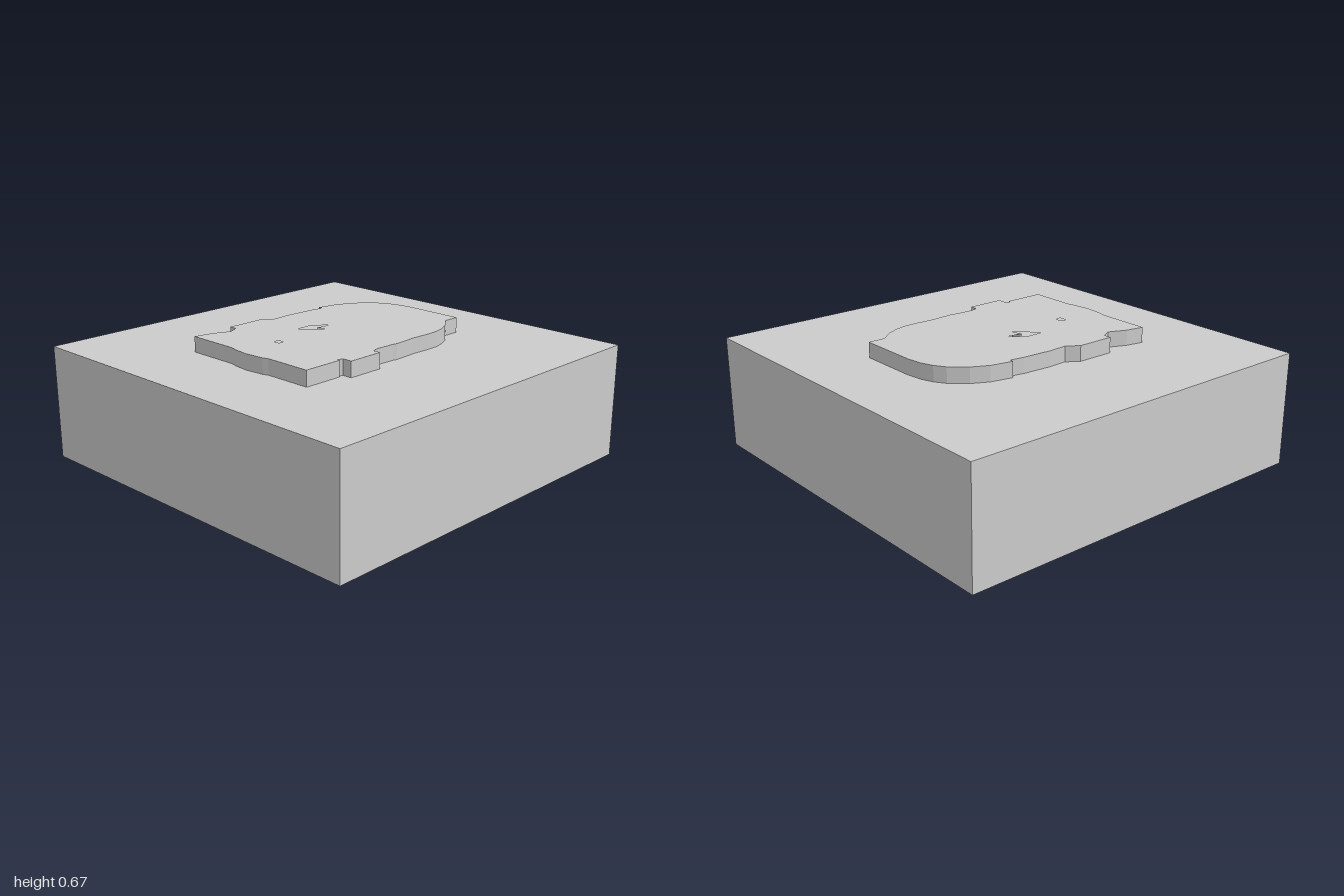
import * as THREE from 'three';

const BASE_HEIGHT = 0.59;
const RELIEF_HEIGHT = 0.08;

// Plan coordinates are [x, z]; z is flipped because the extrusion is laid flat.
const plan = (points) => points.map(([x, z]) => new THREE.Vector2(x, -z));

export function createModel() {
  const group = new THREE.Group();
  const material = new THREE.MeshStandardMaterial({ color: 0xcccccc, flatShading: true });

  // Square block
  const base = new THREE.Mesh(new THREE.BoxGeometry(2, BASE_HEIGHT, 2), material);
  base.name = 'base';
  base.position.y = BASE_HEIGHT / 2;
  group.add(base);

  // Raised plate: right side, lower edge, left side, then the rounded top
  const outline = new THREE.Shape(plan([
    [0.27, -0.615], [0.27, -0.525], [0.325, -0.455], [0.355, -0.39], [0.369, -0.33],
    [0.371, -0.26], [0.366, -0.17], [0.375, -0.03], [0.37, -0.01], [0.365, 0.1],
    [0.376, 0.135], [0.417, 0.135], [0.417, 0.33], [0.365, 0.33], [0.355, 0.358],
    [0.37, 0.358], [0.37, 0.568], [0.12, 0.568], [0.09, 0.578], [-0.01, 0.588],
    [-0.09, 0.58], [-0.14, 0.568], [-0.417, 0.568], [-0.4, 0.475], [-0.36, 0.38],
    [-0.386, 0.33], [-0.427, 0.33], [-0.427, 0.13], [-0.384, 0.068], [-0.39, -0.03],
    [-0.381, -0.19], [-0.368, -0.265], [-0.391, -0.265], [-0.368, -0.38], [-0.325, -0.466],
    [-0.255, -0.545], [-0.2, -0.58], [-0.135, -0.603], [-0.05, -0.615],
  ]));

  // Cut-outs through the plate
  outline.holes = [
    [[-0.095, -0.05], [-0.105, 0.034], [-0.05, 0.02], [-0.155, 0.12], [-0.155, 0.036]],
    [[-0.075, 0.358], [-0.058, 0.33], [-0.035, 0.33], [-0.035, 0.358]],
  ].map((points) => new THREE.Path(plan(points)));

  const reliefGeometry = new THREE.ExtrudeGeometry(outline, { depth: RELIEF_HEIGHT, bevelEnabled: false });
  reliefGeometry.rotateX(-Math.PI / 2);
  const relief = new THREE.Mesh(reliefGeometry, material);
  relief.name = 'raisedPlate';
  relief.position.y = BASE_HEIGHT;
  group.add(relief);

  return group;
}
